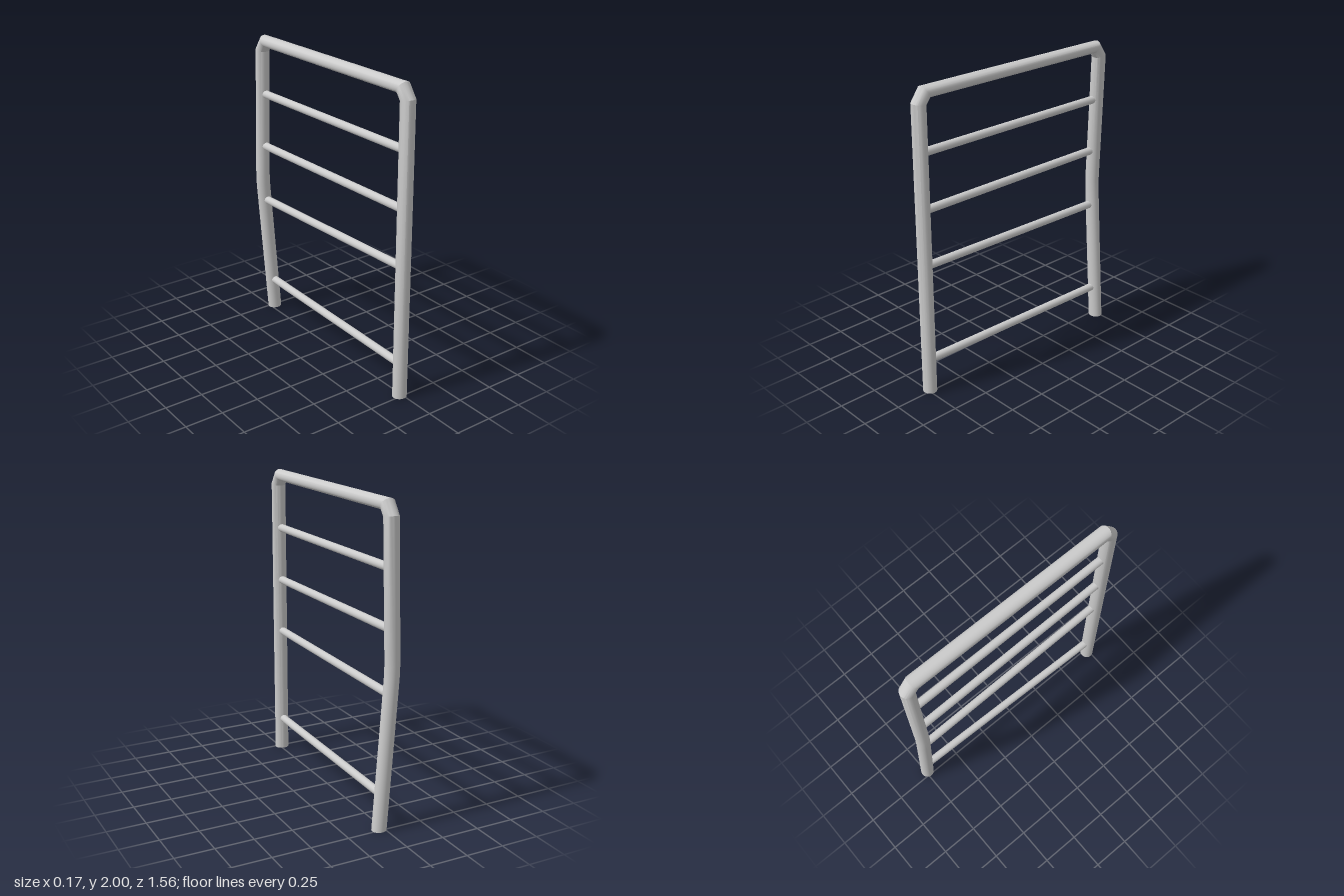
import * as THREE from 'three';
import { toCreasedNormals } from 'three/addons/utils/BufferGeometryUtils.js';

const SIDES = 24;
const HALF_WIDTH = 0.047; // half thickness of the frame pipe along x
const FRAME_X = -0.016;

// Pipe through mitred rings; each ring is { x, outer: [y, z], inner: [y, z] }
function pipeGeometry(rings) {
  const positions = [], indices = [];
  for (const { x, outer, inner } of rings) {
    const cy = (outer[0] + inner[0]) / 2, cz = (outer[1] + inner[1]) / 2;
    for (let i = 0; i < SIDES; i++) {
      const a = (i / SIDES) * Math.PI * 2, c = Math.cos(a), s = Math.sin(a);
      positions.push(x + HALF_WIDTH * s, cy + (outer[0] - cy) * c, cz + (outer[1] - cz) * c);
    }
  }
  for (let r = 0; r < rings.length - 1; r++) {
    for (let i = 0; i < SIDES; i++) {
      const j = (i + 1) % SIDES;
      const a = r * SIDES + i, b = r * SIDES + j;
      indices.push(a, b, a + SIDES, b, b + SIDES, a + SIDES);
    }
  }
  const geometry = new THREE.BufferGeometry();
  geometry.setAttribute('position', new THREE.Float32BufferAttribute(positions, 3));
  geometry.setIndex(indices);
  return toCreasedNormals(geometry, 0.5);
}

// Straight round bar between two points
function bar(from, to, radius, material) {
  const direction = to.clone().sub(from);
  const mesh = new THREE.Mesh(new THREE.CylinderGeometry(radius, radius, direction.length(), 16), material);
  mesh.position.copy(from).add(to).multiplyScalar(0.5);
  mesh.quaternion.setFromUnitVectors(new THREE.Vector3(0, 1, 0), direction.normalize());
  return mesh;
}

// Centre line of the bent rear post: [y, x]
const bend = [[0, 0.034], [0.9, -0.033], [0.96, -0.037], [1.03, -0.039], [1.1, -0.0375], [1.9, FRAME_X]];

function rearX(y) {
  const k = Math.max(1, bend.findIndex(([by]) => by >= y));
  const [y0, x0] = bend[k - 1], [y1, x1] = bend[k];
  return x0 + ((x1 - x0) * (y - y0)) / (y1 - y0);
}

export function createModel() {
  const group = new THREE.Group();
  const steel = new THREE.MeshStandardMaterial({ color: 0xcccccc });
  const openSteel = new THREE.MeshStandardMaterial({ color: 0xcccccc, side: THREE.DoubleSide });

  // Frame: straight front post, chamfered corners, top rail, bent rear post
  const postRing = (x, y, side) => ({ x, outer: [y, 0.78 * side], inner: [y, 0.692 * side] });
  const corner = (side) => [
    { x: FRAME_X, outer: [1.908, 0.78 * side], inner: [1.892, 0.692 * side] },
    { x: FRAME_X, outer: [2, 0.716 * side], inner: [1.925, 0.668 * side] },
  ];
  const frame = new THREE.Mesh(pipeGeometry([
    postRing(FRAME_X, 0, 1),
    ...corner(1),
    ...corner(-1).reverse(),
    ...bend.slice(0, -1).reverse().map(([y, x]) => postRing(x, y, -1)),
  ]), openSteel);
  frame.name = 'frame';
  group.add(frame);

  // Rungs: [height at front post, height at rear post]
  const rungs = new THREE.Group();
  rungs.name = 'rungs';
  for (const [front, rear] of [[0.225, 0.225], [0.878, 0.85], [1.243, 1.243], [1.605, 1.605]]) {
    const rung = bar(
      new THREE.Vector3(FRAME_X, front, 0.725),
      new THREE.Vector3(rearX(rear), rear, -0.725),
      0.026, steel);
    rung.name = 'rung';
    rungs.add(rung);
  }
  group.add(rungs);
  return group;
}
